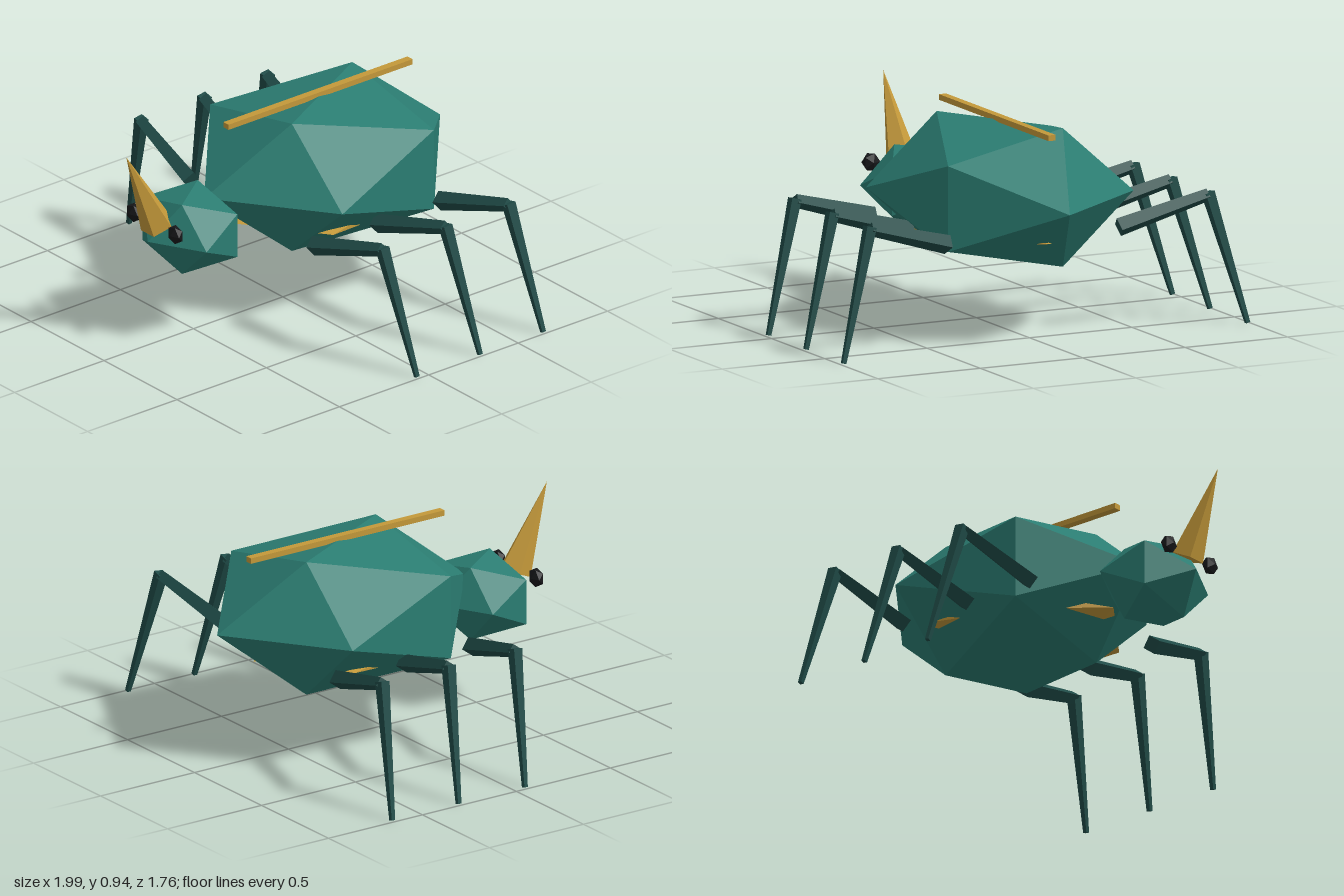
import * as THREE from 'three';
import { ConvexGeometry } from 'three/addons/geometries/ConvexGeometry.js';

const paint = (name, color) => {
  const m = new THREE.MeshStandardMaterial({ color });
  m.name = name;
  return m;
};

export function createModel() {
  const shell = paint('teal shell', 0x2b7d72);
  const limb = paint('dark teal legs', 0x1f4b47);
  const gold = paint('gold trim', 0xc4993a);
  const black = paint('black eyes', 0x17181a);
  const beetle = new THREE.Group();
  beetle.name = 'beetle';

  const add = (name, geometry, material, parent = beetle) => {
    const mesh = new THREE.Mesh(geometry, material);
    mesh.name = name;
    parent.add(mesh);
    return mesh;
  };

  const flat = (geometry) => {
    const g = geometry.toNonIndexed();
    g.computeVertexNormals();
    return g;
  };

  // Stretched icosahedron with its poles along z
  const gem = (name, rx, ry, rz, x, y, z, material) => {
    const points = [new THREE.Vector3(0, 0, rz), new THREE.Vector3(0, 0, -rz)];
    const ring = 2 / Math.sqrt(5), depth = 1 / Math.sqrt(5);
    for (let i = 0; i < 5; i++) {
      const a = (i * 2 * Math.PI) / 5;
      const c = Math.cos(a) * ring * rx, s = Math.sin(a) * ring * ry;
      points.push(new THREE.Vector3(c, s, depth * rz));
      points.push(new THREE.Vector3(-c, -s, -depth * rz));
    }
    add(name, new ConvexGeometry(points), material).position.set(x, y, z);
  };

  // Tapered four-sided segment between two points
  const segment = (name, a, b, ra, rb, parent) => {
    const dir = b.clone().sub(a);
    const mesh = add(name, flat(new THREE.CylinderGeometry(rb, ra, dir.length(), 4)), limb, parent);
    mesh.position.copy(a).add(b).multiplyScalar(0.5);
    mesh.quaternion.setFromUnitVectors(new THREE.Vector3(0, 1, 0), dir.normalize());
  };

  // Body, head and the band that pokes out low on the sides
  gem('body', 0.56, 0.36, 0.66, 0, 0.609, -0.22, shell);
  gem('head', 0.272, 0.195, 0.235, 0, 0.497, 0.52, shell);
  gem('bellyBand', 0.42, 0.07, 0.49, 0, 0.447, -0.195, gold);

  // Back ridge
  add('backRidge', new THREE.BoxGeometry(0.035, 0.025, 1.03), gold).position.set(0, 0.921, -0.197);

  // Horn: five-sided cone leaning forward
  const horn = flat(new THREE.ConeGeometry(0.075, 0.415, 5).rotateY(Math.PI).translate(0, 0.2075, 0));
  const hornMesh = add('horn', horn, gold);
  hornMesh.position.set(0, 0.563, 0.702);
  hornMesh.rotation.x = 0.43;

  // Eyes and three pairs of legs
  for (const side of [1, -1]) {
    gem(side > 0 ? 'leftEye' : 'rightEye', 0.045, 0.045, 0.028, side * 0.142, 0.574, 0.717, black);
    ['front', 'middle', 'rear'].forEach((row, i) => {
      const leg = new THREE.Group();
      leg.name = `${row}${side > 0 ? 'Left' : 'Right'}Leg`;
      leg.position.z = -0.353 * i;
      beetle.add(leg);
      const hip = new THREE.Vector3(side * 0.418, 0.457, 0.171);
      const knee = new THREE.Vector3(side * 0.825, 0.573, 0.117);
      const foot = new THREE.Vector3(side * 0.986, 0.004, 0.055);
      segment('upperLeg', hip, knee, 0.043, 0.03, leg);
      segment('lowerLeg', knee.clone().setY(0.583), foot, 0.032, 0.013, leg);
    });
  }
  return beetle;
}
